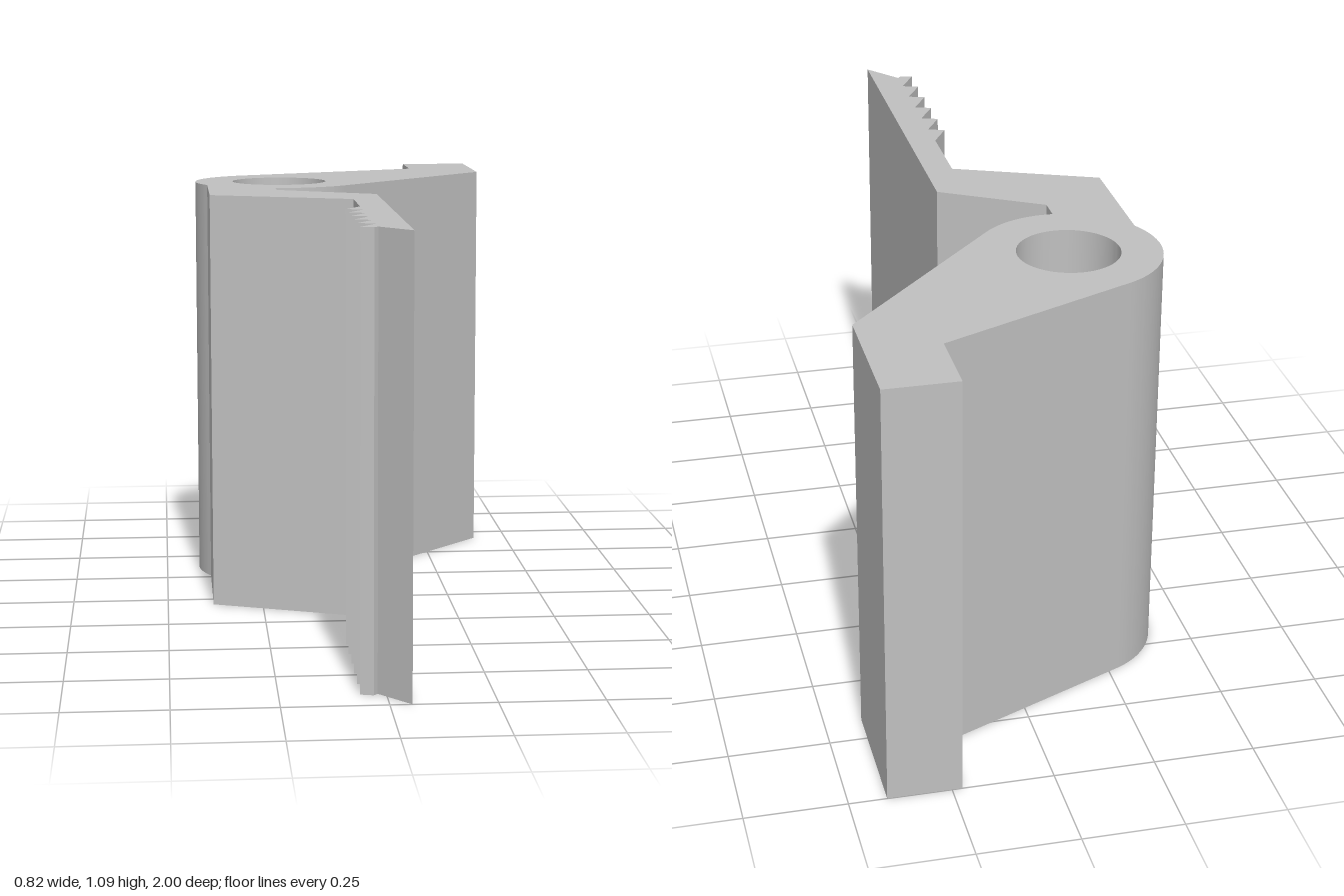
import * as THREE from 'three';
import { toCreasedNormals } from 'three/addons/utils/BufferGeometryUtils.js';

const HEIGHT = 1.085;
const HINGE = { x: -0.18, y: 0.38, outer: 0.23, hole: 0.128 };
const rad = THREE.MathUtils.degToRad;

// Plan outline of the clip; shape y points to the back (-z)
function clipProfile() {
  const s = new THREE.Shape();
  const line = (...pts) => pts.forEach(([x, y]) => s.lineTo(x, y));

  // upper arm and its end lug
  s.moveTo(0.225, 0.81);
  line([0.225, 1], [0.407, 1], [0.407, 0.67]);

  // front of the hinge barrel, tangent to the arm
  s.absarc(HINGE.x, HINGE.y, HINGE.outer, rad(-43), rad(-95), true);

  // neck and outer face of the blade
  line([-0.2, 0.09], [0.052, -0.055], [0.052, -1], [-0.02, -0.91], [-0.03, -0.922]);

  // saw teeth, from the tip towards the neck
  for (let i = 5; i >= 0; i--) {
    const z = 0.477 + i * 0.0872;
    line([-0.061, -z], [-0.02, -(z - 0.07)]);
    if (i > 0) line([-0.02, -(z - 0.073)]);
  }

  // inner face of the blade and neck
  line([-0.02, -0.2], [-0.38, -0.055]);

  // back of the hinge barrel
  s.absarc(HINGE.x, HINGE.y, HINGE.outer, rad(209.6), rad(113.8), true);
  s.closePath();

  // pin hole
  const hole = new THREE.Path();
  hole.absarc(HINGE.x, HINGE.y, HINGE.hole, 0, Math.PI * 2, false);
  s.holes.push(hole);
  return s;
}

export function createModel() {
  const grey = new THREE.MeshStandardMaterial({ color: 0xc0c0c0 });
  grey.name = 'light grey';

  const extruded = new THREE.ExtrudeGeometry(clipProfile(), {
    depth: HEIGHT, bevelEnabled: false, curveSegments: 40,
  });
  extruded.rotateX(-Math.PI / 2);

  const clip = new THREE.Mesh(toCreasedNormals(extruded, 0.25), grey);
  clip.name = 'hingedClip';

  const group = new THREE.Group();
  group.name = 'clipProfile';
  group.add(clip);
  return group;
}
